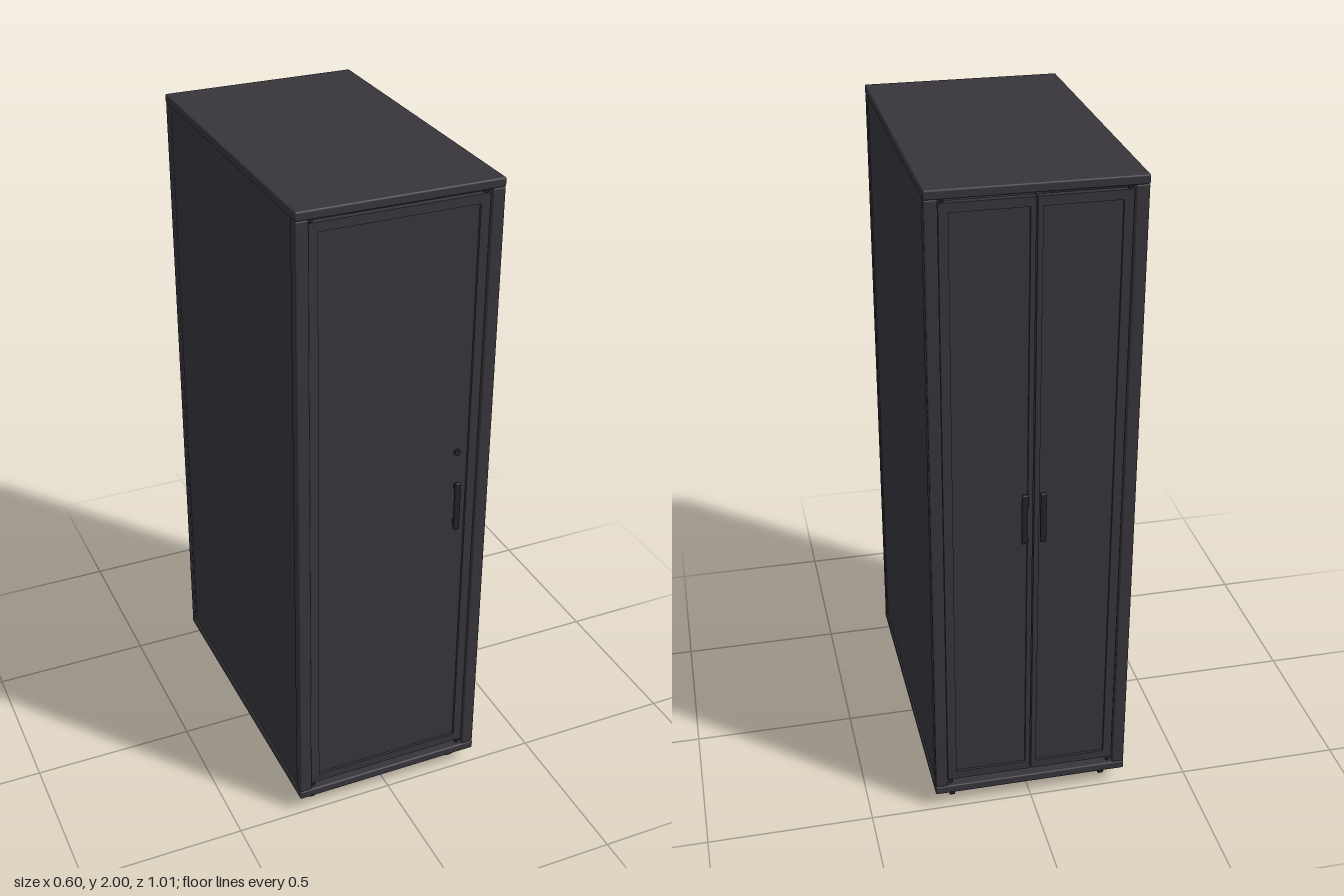
import * as THREE from 'three';
import { RoundedBoxGeometry } from 'three/addons/geometries/RoundedBoxGeometry.js';

const material = (name, color) => {
  const m = new THREE.MeshStandardMaterial({ color });
  m.name = name;
  return m;
};

export function createModel() {
  const model = new THREE.Group();
  model.name = 'equipmentCabinet';
  const charcoal = material('charcoal steel', 0x37353b);
  const black = material('black fittings', 0x242328);

  const add = (parent, name, geometry, mat, x, y, z) => {
    const mesh = new THREE.Mesh(geometry, mat);
    mesh.name = name;
    mesh.position.set(x, y, z);
    parent.add(mesh);
    return mesh;
  };
  const box = (w, h, d) => new THREE.BoxGeometry(w, h, d);
  const rounded = (w, h, d, r = 0.005) => new RoundedBoxGeometry(w, h, d, 2, r);

  // Top and base plates
  add(model, 'topPlate', rounded(0.6, 0.027, 1), charcoal, 0, 1.9865, 0);
  add(model, 'basePlate', rounded(0.6, 0.027, 1), charcoal, 0, 0.0665, 0);

  // Corner posts, side panels and casters
  for (const sx of [-1, 1]) {
    add(model, 'sidePanel', box(0.012, 1.893, 0.93), charcoal, sx * 0.289, 1.0265, 0);
    for (const sz of [-1, 1]) {
      add(model, 'cornerPost', rounded(0.037, 1.893, 0.035, 0.004), charcoal, sx * 0.2805, 1.0265, sz * 0.4815);

      const caster = new THREE.Group();
      caster.name = 'caster';
      caster.position.set(sx * 0.24, 0, sz * 0.44);
      add(caster, 'mountingPlate', box(0.045, 0.007, 0.045), black, 0, 0.0505, 0);
      add(caster, 'swivelStem', new THREE.CylinderGeometry(0.009, 0.009, 0.02, 16), black, 0, 0.038, 0);
      add(caster, 'wheel', new THREE.CylinderGeometry(0.018, 0.018, 0.015, 24), black, 0, 0.018, 0)
        .rotation.z = Math.PI / 2;
      model.add(caster);
    }
  }

  // A framed door facing +z, from x0 to x1, with separate stile widths
  const bottom = 0.098, top = 1.96, rail = 0.027, middle = (bottom + top) / 2;
  const makeDoor = (name, x0, x1, stile0, stile1, handleX, hinges) => {
    const door = new THREE.Group();
    door.name = name;
    const h = top - bottom, cx = (x0 + x1) / 2;
    add(door, 'doorPanel', box(x1 - x0 - 0.01, h - 0.01, 0.008), charcoal, cx, middle, 0.478);
    add(door, 'doorStile', box(stile0, h, 0.02), charcoal, x0 + stile0 / 2, middle, 0.48);
    add(door, 'doorStile', box(stile1, h, 0.02), charcoal, x1 - stile1 / 2, middle, 0.48);
    const railWidth = x1 - x0 - stile0 - stile1, railX = (x0 + stile0 + x1 - stile1) / 2;
    for (const y of [bottom + rail / 2, top - rail / 2])
      add(door, 'doorRail', box(railWidth, rail, 0.02), charcoal, railX, y, 0.48);

    // Pull handle on two short standoffs
    add(door, 'handleGrip', rounded(0.018, 0.16, 0.012, 0.004), black, handleX, 1.005, 0.498);
    for (const y of [0.945, 1.065])
      add(door, 'handleStandoff', box(0.01, 0.014, 0.016), black, handleX, y, 0.488);

    // Hinge pins between the door and the plates
    for (const x of hinges)
      for (const y of [0.089, 1.9665])
        add(door, 'hingePin', new THREE.CylinderGeometry(0.006, 0.006, 0.02, 12), black, x, y, 0.48);
    model.add(door);
    return door;
  };

  // Single front door with lock
  const front = makeDoor('frontDoor', -0.26, 0.26, rail, rail, 0.2, [-0.25, 0.25]);
  add(front, 'lock', new THREE.CylinderGeometry(0.01, 0.01, 0.008, 20), black, 0.2, 1.18, 0.485)
    .rotation.x = Math.PI / 2;

  // Split rear doors
  makeDoor('rearDoor', -0.26, -0.002, rail, 0.015, -0.027, [-0.25]).rotation.y = Math.PI;
  makeDoor('rearDoor', 0.002, 0.26, 0.015, rail, 0.027, [0.25]).rotation.y = Math.PI;

  return model;
}
